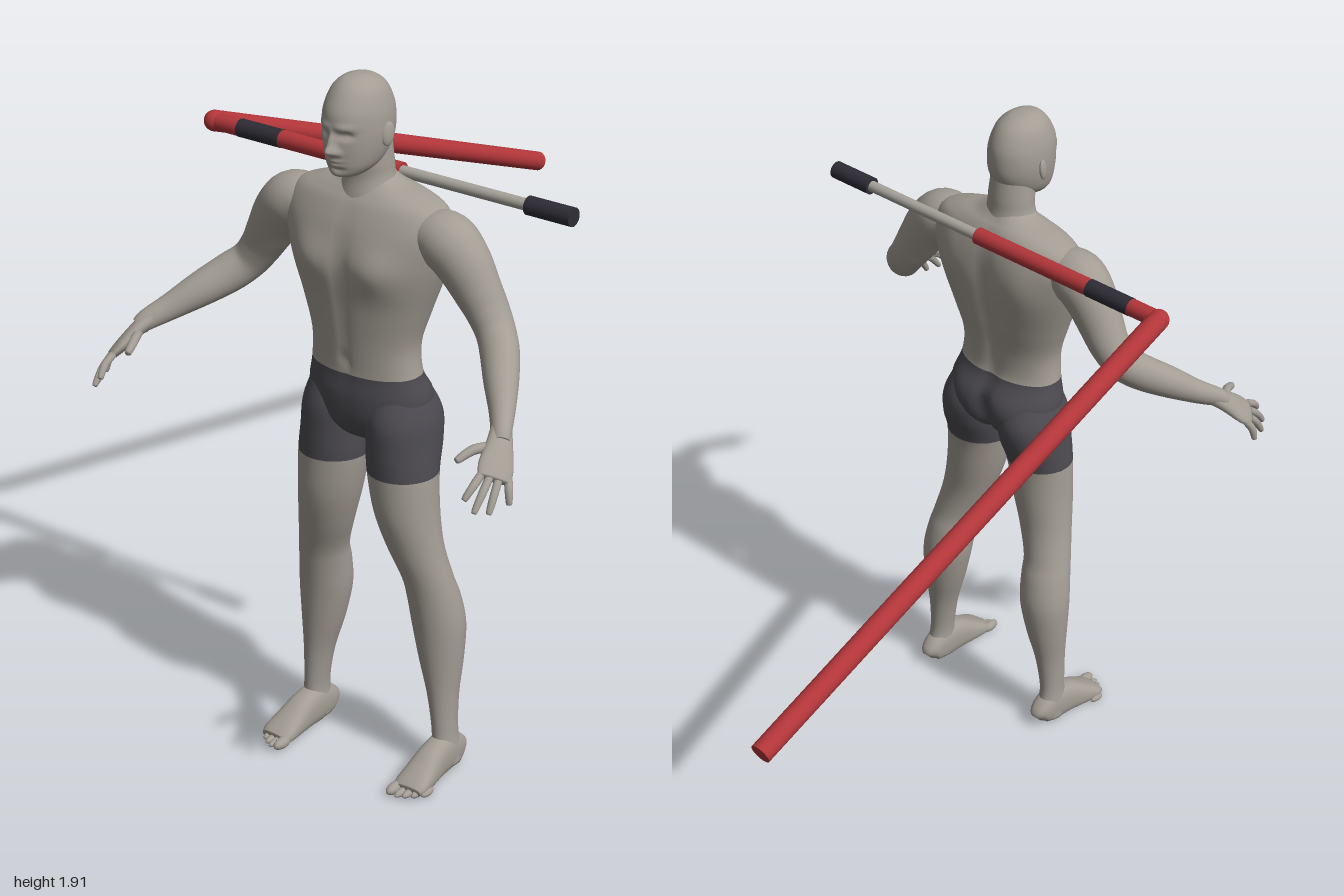
import * as THREE from 'three';

const mat = (name, hex) => Object.assign(new THREE.MeshStandardMaterial({ color: hex }), { name });
const skin = mat('warm grey skin', 0xa39d94);
const cloth = mat('charcoal cloth', 0x4d4b51);
const red = mat('red paint', 0xb3363a);
const dark = mat('dark grip', 0x2e2d36);
const metal = mat('pale metal', 0xa8a49c);

const bump = (x, y, cx, cy, sx, sy) => Math.exp(-(((x - cx) / sx) ** 2) - ((y - cy) / sy) ** 2);

// Smooth value of component c at parameter t along the key list
function sample(keys, t, c) {
  const n = keys.length - 1, i = Math.min(Math.floor(t), n - 1), f = t - i;
  const [a, b, d, e] = [-1, 0, 1, 2].map(o => keys[Math.max(0, Math.min(n, i + o))][c]);
  return b + 0.5 * f * (d - a + f * (2 * a - 5 * b + 4 * d - e + f * (3 * (b - d) + e - a)));
}

// Skin over oval sections [x, y, z, a, b]. Without a hint the sections lie level
// (listed top down); with a hint they stand across the path, "a" along the hint.
function loft(name, keys, mats, { hint, sides = 32, sub = 5, power = 1, split, deform } = {}) {
  const rows = (keys.length - 1) * sub, pos = [], idx = [];
  const at = t => new THREE.Vector3(...[0, 1, 2].map(c => sample(keys, t, c)));
  const pw = v => Math.sign(v) * Math.abs(v) ** power;
  const U = new THREE.Vector3(1, 0, 0), V = new THREE.Vector3(0, 0, 1);
  for (let r = 0; r <= rows; r++) {
    const t = r / sub, c = at(t), a = sample(keys, t, 3), b = sample(keys, t, 4);
    if (hint) {
      const T = at(Math.min(t + 0.05, rows / sub)).sub(at(Math.max(t - 0.05, 0))).normalize();
      U.set(...hint).addScaledVector(T, -T.dot(U.set(...hint))).normalize();
      V.crossVectors(T, U);
    }
    for (let j = 0; j < sides; j++) {
      const q = (j / sides) * Math.PI * 2;
      const p = c.clone().addScaledVector(U, a * pw(Math.cos(q))).addScaledVector(V, b * pw(Math.sin(q)));
      if (deform) deform(p, c);
      pos.push(p.x, p.y, p.z);
    }
  }
  pos.push(...at(0).toArray(), ...at(rows / sub).toArray());
  const first = (rows + 1) * sides, last = first + 1;
  for (let j = 0; j < sides; j++) idx.push(first, (j + 1) % sides, j);
  for (let r = 0; r < rows; r++) for (let j = 0; j < sides; j++) {
    const k = (j + 1) % sides, A = r * sides + j, B = r * sides + k;
    idx.push(A, B, A + sides, B, B + sides, A + sides);
  }
  for (let j = 0; j < sides; j++) idx.push(last, rows * sides + j, rows * sides + (j + 1) % sides);
  const g = new THREE.BufferGeometry();
  g.setAttribute('position', new THREE.Float32BufferAttribute(pos, 3));
  g.setIndex(idx);
  g.computeVertexNormals();
  if (split) {
    const cut = 3 * sides + split * sub * sides * 6;
    g.addGroup(0, cut, 0);
    g.addGroup(cut, idx.length - cut, 1);
  }
  const m = new THREE.Mesh(g, mats);
  m.name = name;
  return m;
}

// Level section from height, half width, back z and front z
const level = ([y, w, back, front]) => [0, y, (back + front) / 2, w, (front - back) / 2];

function makeTorso() {
  const keys = [
    [1.64, 0.06, 0.54, 0.64], [1.62, 0.1, 0.525, 0.65], [1.602, 0.165, 0.51, 0.665], [1.575, 0.225, 0.497, 0.685],
    [1.52, 0.25, 0.485, 0.71], [1.45, 0.235, 0.482, 0.725], [1.38, 0.212, 0.49, 0.728], [1.3, 0.183, 0.508, 0.722],
    [1.21, 0.156, 0.53, 0.715], [1.128, 0.16, 0.532, 0.712], [1.06, 0.176, 0.5, 0.718], [0.99, 0.165, 0.505, 0.71],
    [0.945, 0.1, 0.54, 0.68], [0.93, 0.04, 0.58, 0.65]].map(level);
  return loft('torso', keys, [skin, cloth], {
    sides: 72, power: 0.9, split: 9,
    deform(p, c) {
      const x = Math.abs(p.x);
      if (p.z > c.z) { // chest muscles and midline
        p.z += 0.02 * bump(x, p.y, 0.1, 1.43, 0.07, 0.06) - 0.008 * bump(x, p.y, 0, 1.35, 0.015, 0.2)
          - 0.008 * bump(x, p.y, 0, 1.165, 0.012, 0.012);
      } else { // spine, shoulder blades and seat
        p.z += 0.018 * bump(x, p.y, 0, 1.33, 0.025, 0.2) + 0.03 * bump(x, p.y, 0, 1.0, 0.02, 0.07)
          - 0.01 * bump(x, p.y, 0.12, 1.47, 0.06, 0.08) - 0.012 * bump(x, p.y, 0.085, 1.03, 0.06, 0.06);
      }
    },
  });
}

function makeHead() {
  const head = new THREE.Group();
  head.name = 'head';
  const keys = [
    [1.908, 0.012, 0.63, 0.65], [1.9, 0.036, 0.59, 0.685], [1.875, 0.062, 0.556, 0.713], [1.83, 0.077, 0.533, 0.738],
    [1.785, 0.081, 0.529, 0.742], [1.745, 0.078, 0.535, 0.742], [1.71, 0.07, 0.555, 0.739], [1.685, 0.058, 0.585, 0.735],
    [1.666, 0.038, 0.625, 0.726], [1.658, 0.015, 0.66, 0.7]].map(level);
  head.add(loft('face and skull', keys, skin, {
    sides: 96, sub: 8,
    deform(p, c) {
      if (p.z < c.z + 0.03) return;
      const x = Math.abs(p.x);
      p.z += 0.026 * bump(x, p.y, 0, 1.738, 0.013, 0.014) + 0.014 * bump(x, p.y, 0, 1.762, 0.009, 0.02)
        + 0.007 * bump(x, p.y, 0.016, 1.733, 0.008, 0.008) + 0.006 * bump(x, p.y, 0.03, 1.797, 0.025, 0.009)
        - 0.012 * bump(x, p.y, 0.032, 1.777, 0.016, 0.009) + 0.004 * bump(x, p.y, 0.031, 1.776, 0.008, 0.005)
        + 0.007 * bump(x, p.y, 0, 1.711, 0.02, 0.005) + 0.006 * bump(x, p.y, 0, 1.699, 0.018, 0.005)
        - 0.004 * bump(x, p.y, 0, 1.688, 0.025, 0.005) + 0.004 * bump(x, p.y, 0, 1.672, 0.02, 0.008);
    },
  }));
  head.add(loft('neck', [[0, 1.74, 0.605, 0.06, 0.062], [0, 1.68, 0.6, 0.064, 0.063], [0, 1.64, 0.598, 0.067, 0.063],
    [0, 1.6, 0.598, 0.082, 0.072], [0, 1.56, 0.6, 0.11, 0.08]], skin));
  for (const s of [-1, 1]) {
    const ear = new THREE.Mesh(new THREE.SphereGeometry(1, 16, 12), skin);
    ear.name = 'ear';
    ear.scale.set(0.008, 0.031, 0.018);
    ear.position.set(s * 0.083, 1.765, 0.628);
    ear.rotation.set(-0.2, s * -0.35, 0);
    head.add(ear);
  }
  return head;
}

function makeArm() {
  const arm = new THREE.Group();
  arm.add(loft('arm', [
    [0.16, 1.525, 0.597, 0.06, 0.05], [0.235, 1.512, 0.6, 0.076, 0.075], [0.285, 1.47, 0.6, 0.07, 0.073],
    [0.33, 1.402, 0.598, 0.06, 0.063], [0.362, 1.352, 0.598, 0.055, 0.055], [0.395, 1.308, 0.61, 0.05, 0.051],
    [0.432, 1.275, 0.645, 0.048, 0.052], [0.48, 1.237, 0.705, 0.043, 0.046], [0.53, 1.197, 0.77, 0.032, 0.035],
    [0.565, 1.17, 0.822, 0.025, 0.028], [0.575, 1.155, 0.84, 0.022, 0.024]], skin, { hint: [0, 0, 1] }));
  // Hand: flat palm, four fingers and a thumb
  const spread = [0.6, -0.25, -0.76];
  arm.add(loft('palm', [[0.557, 1.176, 0.81, 0.026, 0.022], [0.577, 1.15, 0.845, 0.034, 0.02],
    [0.597, 1.114, 0.887, 0.045, 0.017], [0.609, 1.092, 0.914, 0.041, 0.012]], skin, { hint: spread, sides: 20 }));
  const tips = [[0.58, 1.064, 0.99], [0.605, 1.036, 0.985], [0.626, 1.027, 0.955], [0.645, 1.034, 0.9]];
  const digit = (name, a, m, b, r) => arm.add(loft(name, [[...a, r, r], [...m, r, r],
    [...b, r * 0.75, r * 0.75], [...b.map((v, i) => v + (v - m[i]) * 0.1), 0.002, 0.002]], skin, { hint: spread, sides: 10 }));
  tips.forEach((tip, i) => {
    const base = [0.586 + 0.014 * i, 1.106 - 0.006 * i, 0.934 - 0.018 * i];
    const mid = base.map((v, k) => (v + tip[k]) / 2 + [0.003, 0.003, 0.004][k]);
    digit('finger', base, mid, tip, 0.0105);
  });
  digit('thumb', [0.57, 1.145, 0.85], [0.541, 1.147, 0.898], [0.524, 1.132, 0.942], 0.0125);
  return arm;
}

function makeLeg() {
  const leg = new THREE.Group();
  leg.add(loft('leg', [
    [0.09, 1.08, 0.61, 0.075, 0.085], [0.1, 1.01, 0.605, 0.092, 0.112], [0.106, 0.94, 0.61, 0.094, 0.109],
    [0.112, 0.86, 0.626, 0.095, 0.092], [0.125, 0.75, 0.63, 0.087, 0.084], [0.146, 0.65, 0.623, 0.077, 0.071],
    [0.171, 0.56, 0.606, 0.069, 0.065], [0.18, 0.5, 0.592, 0.071, 0.069], [0.188, 0.42, 0.582, 0.072, 0.07],
    [0.197, 0.32, 0.585, 0.059, 0.06], [0.208, 0.22, 0.593, 0.04, 0.047], [0.216, 0.12, 0.598, 0.031, 0.041],
    [0.218, 0.06, 0.596, 0.034, 0.047], [0.218, 0.015, 0.595, 0.034, 0.05]], [cloth, skin], { split: 3 }));
  // Foot with flat sole and five toes
  leg.add(loft('foot', [[0.216, 0.025, 0.535, 0.012, 0.018], [0.216, 0.037, 0.55, 0.03, 0.037],
    [0.217, 0.05, 0.6, 0.036, 0.055], [0.219, 0.046, 0.655, 0.039, 0.051], [0.222, 0.032, 0.71, 0.045, 0.036],
    [0.224, 0.021, 0.755, 0.048, 0.022], [0.225, 0.016, 0.775, 0.04, 0.014]], skin,
  { hint: [1, 0, 0], power: 0.8, deform: p => { p.y = Math.max(p.y, 0); } }));
  for (let i = 0; i < 5; i++) {
    const toe = new THREE.Mesh(new THREE.SphereGeometry(1, 14, 10), skin), r = i ? 0.0105 : 0.0155;
    toe.name = 'toe';
    toe.scale.set(r, r, 0.032 - 0.002 * i);
    toe.position.set(0.19 + (i ? 0.004 : 0) + 0.0185 * i, r, 0.783 - 0.003 * i * i * 0.8);
    leg.add(toe);
  }
  return leg;
}

// Round bar between two points
function bar(name, a, b, r, m) {
  const A = new THREE.Vector3(...a), B = new THREE.Vector3(...b), d = B.clone().sub(A);
  const mesh = new THREE.Mesh(new THREE.CylinderGeometry(r, r, d.length(), 24), m);
  mesh.name = name;
  mesh.position.copy(A).add(B).multiplyScalar(0.5);
  mesh.quaternion.setFromUnitVectors(new THREE.Vector3(0, 1, 0), d.normalize());
  return mesh;
}

function makePole() {
  const pole = new THREE.Group();
  pole.name = 'jointed pole';
  const y = 1.597, z = 0.467;
  const along = (name, x0, x1, r, m) => pole.add(bar(name, [x0, y, z], [x1, y, z], r, m));
  along('upper red tube', -0.62, -0.53, 0.0235, red);
  along('dark band', -0.53, -0.39, 0.0245, dark);
  along('middle red tube', -0.39, 0, 0.0235, red);
  along('thin rod', 0, 0.4, 0.0155, metal);
  along('end grip', 0.39, 0.525, 0.0245, dark);
  pole.add(bar('long red tube', [-0.62, y, z], [-0.62, 1.028, -0.99], 0.0285, red));
  const joint = new THREE.Mesh(new THREE.SphereGeometry(0.0285, 24, 16), red);
  joint.name = 'pole joint';
  joint.position.set(-0.62, y, z);
  pole.add(joint);
  return pole;
}

export function createModel() {
  const model = new THREE.Group();
  model.name = 'figure with pole';
  model.add(makeTorso(), makeHead(), makePole());
  for (const [side, s] of [['left', 1], ['right', -1]]) {
    const arm = makeArm(), leg = makeLeg();
    arm.name = side + 'Arm';
    leg.name = side + 'Leg';
    arm.scale.x = leg.scale.x = s;
    model.add(arm, leg);
  }
  return model;
}
